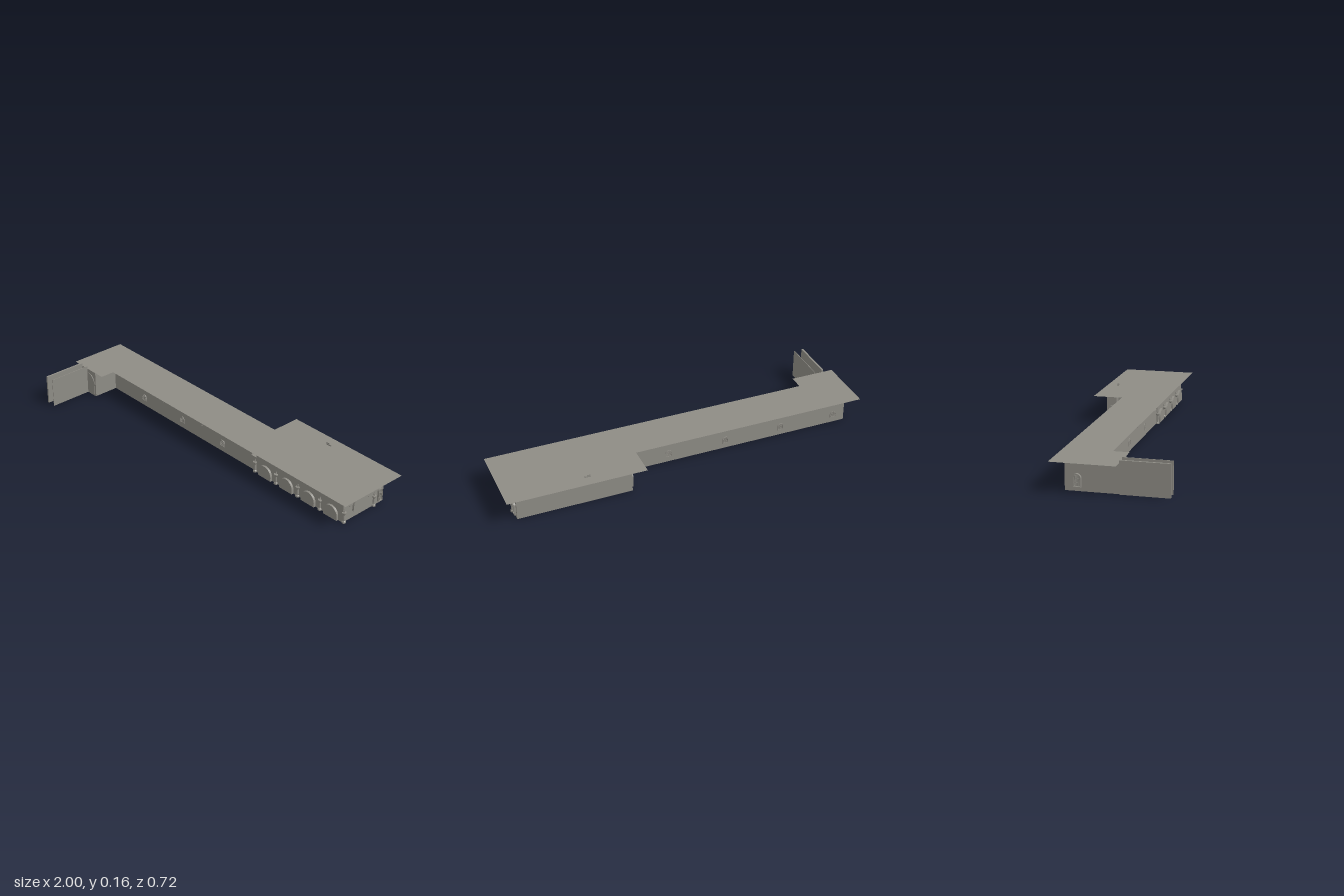
import * as THREE from 'three';

export function createModel() {
  const root = new THREE.Group();
  root.name = 'stoneGalleryAndHall';
  const stone = new THREE.MeshStandardMaterial({ color: 0x8e8c85, side: THREE.DoubleSide });
  stone.name = 'grey stone';

  const add = (geo, name, x = 0, y = 0, z = 0, turn = 0, parent = root) => {
    const m = new THREE.Mesh(geo, stone);
    m.name = name;
    m.position.set(x, y, z);
    m.rotation.y = turn;
    parent.add(m);
    return m;
  };

  // Box given by its corner coordinates
  const block = (name, x0, x1, y0, y1, z0, z1) =>
    add(new THREE.BoxGeometry(x1 - x0, y1 - y0, z1 - z0), name, (x0 + x1) / 2, (y0 + y1) / 2, (z0 + z1) / 2);

  // Round-topped outline standing on y = 0
  const archPath = (T, w, h, y0 = 0) => {
    const s = new T();
    const r = w / 2;
    s.moveTo(-r, y0);
    s.lineTo(r, y0);
    s.lineTo(r, h - r);
    s.absarc(0, h - r, r, 0, Math.PI, false);
    s.lineTo(-r, y0);
    return s;
  };
  const arch = (w, h, depth) =>
    new THREE.ExtrudeGeometry(archPath(THREE.Shape, w, h), { depth, bevelEnabled: false, curveSegments: 8 });

  // Arched frame with a barred opening, facing +z before turning
  const grille = (name, w, h, depth, bars, x, y, z, turn) => {
    const g = new THREE.Group();
    g.name = name;
    g.position.set(x, y, z);
    g.rotation.y = turn;
    const frame = archPath(THREE.Shape, w, h);
    frame.holes.push(archPath(THREE.Path, w * 0.8, h - w * 0.1, w * 0.1));
    add(new THREE.ExtrudeGeometry(frame, { depth, bevelEnabled: false, curveSegments: 8 }), 'archFrame', 0, 0, 0, 0, g);
    for (let i = 0; i < bars; i++) {
      const bx = w * 0.8 * ((i + 0.5) / bars - 0.5);
      const bh = h * 0.93 - Math.abs(bx) * 0.5;
      add(new THREE.CylinderGeometry(0.0014, 0.0014, bh, 6), 'bar', bx, bh / 2, depth * 0.5, 0, g);
    }
    for (const f of [0.35, 0.65])
      add(new THREE.BoxGeometry(w * 0.8, 0.002, 0.002), 'crossBar', 0, h * f, depth * 0.5, 0, g);
    root.add(g);
  };

  // Corridor with a bend at the right end
  block('corridor', -0.94, 0.30, 0, 0.147, -0.14, -0.02);
  block('corridorBend', -0.94, -0.82, 0, 0.147, -0.02, 0.12);
  block('passage', 0.30, 0.34, 0, 0.08, -0.14, -0.02);

  // Hall: main room and rear aisle joined by a low link
  block('hall', 0.34, 0.94, 0, 0.147, -0.235, -0.015);
  block('rearAisle', 0.34, 0.94, 0, 0.147, -0.302, -0.248);
  block('aisleLink', 0.34, 0.94, 0, 0.10, -0.248, -0.235);

  // Flat roof sheet overhanging the walls
  const roof = new THREE.Shape([
    [-1, 0.2], [0.28, 0.2], [0.28, 0.36], [1, 0.36], [1, -0.04],
    [-0.76, -0.04], [-0.76, -0.12], [-1, -0.12],
  ].map(([x, y]) => new THREE.Vector2(x, y)));
  const roofGeo = new THREE.ShapeGeometry(roof);
  roofGeo.rotateX(-Math.PI / 2);
  add(roofGeo, 'roof', 0, 0.148, 0);

  // Free-standing walls leading out of the bend
  block('outerEntryWall', -0.947, -0.937, 0, 0.162, 0.12, 0.36);
  block('innerEntryWall', -0.893, -0.890, 0, 0.162, 0.12, 0.36);
  add(arch(0.1, 0.125, 0.003), 'entryArch', -0.88, 0, 0.12);

  // Small barred windows along both corridor walls
  for (const x of [-0.56, -0.24, 0.08])
    grille('frontWindow', 0.036, 0.038, 0.004, 5, x, 0.03, -0.02, 0);
  for (const x of [-0.875, -0.56, -0.24, 0.08])
    grille('backWindow', 0.036, 0.038, 0.004, 5, x, 0.03, -0.14, Math.PI);

  // Arched bays of the hall
  for (let i = 0; i < 4; i++)
    add(arch(0.09, 0.068, 0.012), 'frontBay', 0.41 + i * 0.152, 0, -0.015);
  add(arch(0.092, 0.068, 0.01), 'endBay', 0.94, 0.04, -0.126, Math.PI / 2);

  // Barred doors at the ends
  grille('leftDoor', 0.03, 0.07, 0.01, 6, 0.94, 0.015, -0.275, Math.PI / 2);
  grille('aisleDoor', 0.03, 0.07, 0.01, 6, 0.34, 0.015, -0.275, -Math.PI / 2);
  grille('rightDoor', 0.04, 0.065, 0.014, 6, -0.94, 0.02, -0.08, -Math.PI / 2);

  // Turned columns with a flared capital and a pointed flame
  const profile = [
    [0, 0], [0.011, 0], [0.011, 0.008], [0.007, 0.012], [0.006, 0.046],
    [0.012, 0.054], [0.012, 0.06], [0.004, 0.061], [0.003, 0.07], [0, 0.08],
  ].map(([r, y]) => new THREE.Vector2(r, y));
  const columnGeo = new THREE.LatheGeometry(profile, 8).toNonIndexed();
  columnGeo.computeVertexNormals();
  for (let i = 0; i < 5; i++)
    add(columnGeo, 'frontColumn', 0.335 + i * 0.152, 0, i === 4 ? -0.02 : -0.012);
  for (const x of [0.338, 0.943]) add(columnGeo, 'rearColumn', x, 0, -0.233);

  // Wall pegs and the small crest behind the roof
  for (const z of [-0.06, -0.19])
    add(new THREE.BoxGeometry(0.006, 0.004, 0.003), 'wallPeg', 0.942, 0.075, z);
  for (const x of [-0.4, -0.08])
    add(new THREE.BoxGeometry(0.003, 0.004, 0.006), 'wallPeg', x, 0.085, -0.019);
  block('roofCrest', 0.557, 0.587, 0.147, 0.156, -0.302, -0.295);
  block('roofCrestTop', 0.557, 0.575, 0.156, 0.162, -0.302, -0.296);

  return root;
}
